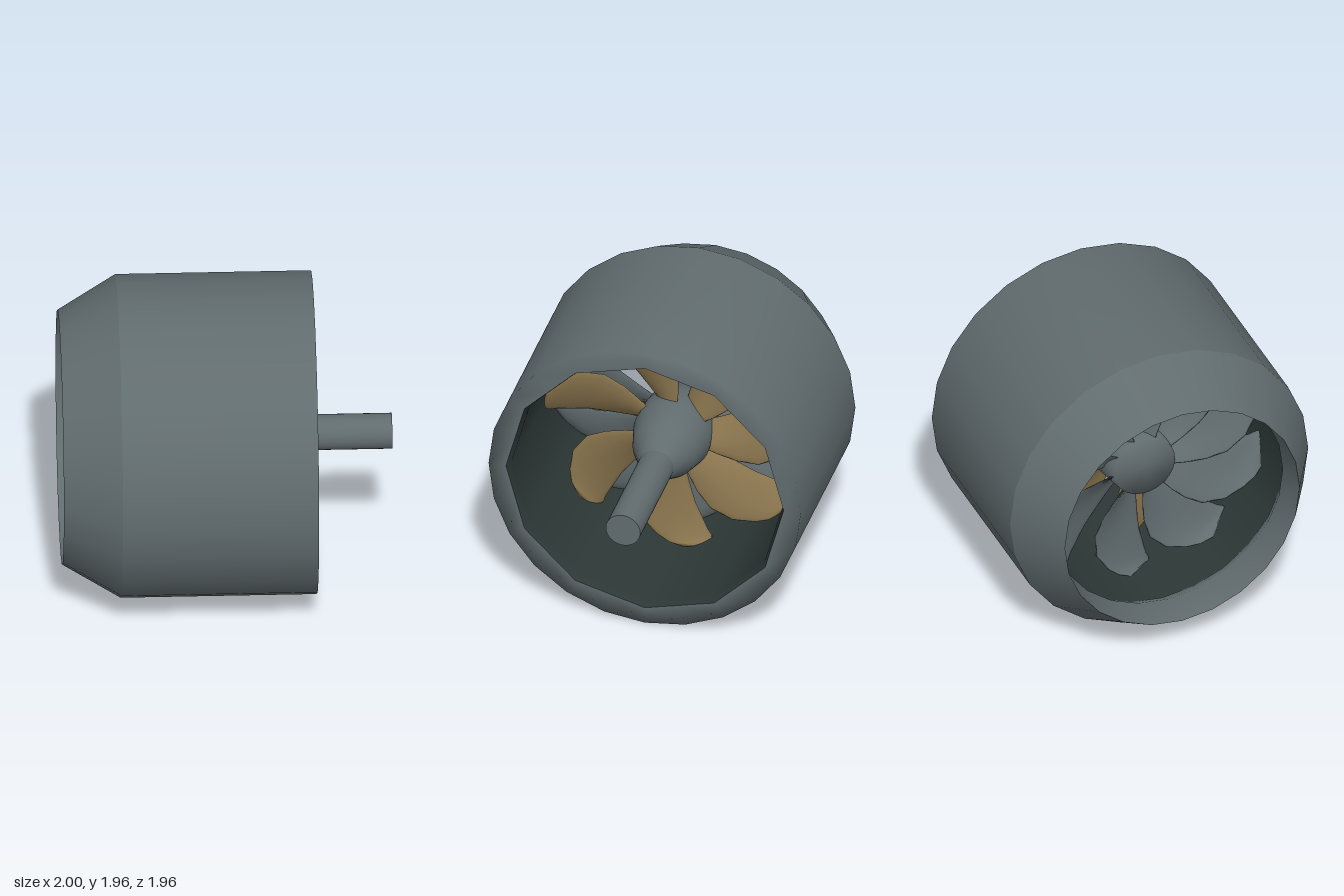
import * as THREE from 'three';

const AXIS_Y = 0.98;
const SIDES = 24;
const shellMat = new THREE.MeshStandardMaterial({ color: 0x616c6f, side: THREE.DoubleSide });
shellMat.name = 'slate grey';
const liningMat = new THREE.MeshStandardMaterial({ color: 0x2d3937, side: THREE.DoubleSide });
liningMat.name = 'dark lining';
const bronzeMat = new THREE.MeshStandardMaterial({ color: 0x8a754e, side: THREE.DoubleSide });
bronzeMat.name = 'bronze';

function add(parent, name, geometry, material) {
  const mesh = new THREE.Mesh(geometry, material);
  mesh.name = name;
  parent.add(mesh);
  return mesh;
}

// Surface of revolution about the x axis from [x, radius] pairs.
function turned(profile, sides) {
  const points = profile.map(([x, r]) => new THREE.Vector2(r, x));
  return new THREE.LatheGeometry(points, sides).rotateZ(-Math.PI / 2);
}

// Barrel with a flat front rim whose opening is twelve-sided:
// every second inner vertex is pulled in onto the chord.
function barrelGeometry() {
  const profile = [[-0.65, 0.978], [0.53, 0.978], [0.53, 0.87]];
  const g = turned(profile, SIDES);
  const p = g.attributes.position;
  const k = Math.cos(Math.PI / 12);
  for (let i = 1; i < SIDES; i += 2) {
    const v = i * profile.length + 2;
    p.setY(v, p.getY(v) * k);
    p.setZ(v, p.getZ(v) * k);
  }
  return g;
}

// Sickle outline of a blade: [radius, start angle, end angle] in degrees.
const OUTLINE = [
  [0.18, 1, 43], [0.3, 0, 42], [0.42, -1, 40], [0.55, -2, 36],
  [0.67, -4, 27.5], [0.75, -5, 18], [0.79, -6, 12], [0.81, -6, 6],
];

// Thin closed blade lofted from lens-shaped sections; dir = -1 mirrors the sweep.
function bladeGeometry(dir, xStart, xEnd, thickness) {
  const N = 16, pos = [], index = [];
  for (const [r, a0, a1] of OUTLINE) {
    for (let j = 0; j < N; j++) {
      const t = (j / N) * Math.PI * 2;
      const u = 0.5 - 0.5 * Math.cos(t);
      const angle = dir * THREE.MathUtils.degToRad(a0 + (a1 - a0) * u);
      const camber = 0.02 * Math.sin(Math.PI * u);
      const x = xStart + (xEnd - xStart) * u + camber + Math.sin(t) * thickness / 2;
      pos.push(x, -r * Math.sin(angle), -r * Math.cos(angle));
    }
  }
  const last = OUTLINE.length - 1;
  for (let i = 0; i < last; i++) {
    for (let j = 0; j < N; j++) {
      const a = i * N + j, b = i * N + (j + 1) % N;
      if (dir > 0) index.push(a, b, a + N, b, b + N, a + N);
      else index.push(a, a + N, b, b, a + N, b + N);
    }
  }
  // Tip cap
  for (let j = 1; j < N - 1; j++) {
    const o = last * N;
    if (dir > 0) index.push(o, o + j, o + j + 1);
    else index.push(o, o + j + 1, o + j);
  }
  const g = new THREE.BufferGeometry();
  g.setAttribute('position', new THREE.Float32BufferAttribute(pos, 3));
  g.setIndex(index);
  g.computeVertexNormals();
  return g;
}

function bladeRing(name, part, count, firstAngle, geometry, material) {
  const ring = new THREE.Group();
  ring.name = name;
  for (let i = 0; i < count; i++) {
    const blade = add(ring, part, geometry, material);
    // Positive angles run from -z towards -y
    blade.rotation.x = -(THREE.MathUtils.degToRad(firstAngle) + (i * 2 * Math.PI) / count);
  }
  return ring;
}

export function createModel() {
  const model = new THREE.Group();
  model.name = 'ductedFan';
  const fan = new THREE.Group();
  fan.name = 'fanAssembly';
  fan.position.y = AXIS_Y;
  model.add(fan);

  // Duct: barrel with rim, tapered nozzle with inner lip, and the inner wall
  add(fan, 'ductBarrel', barrelGeometry(), shellMat);
  add(fan, 'nozzle', turned([[-1, 0.77], [-0.65, 0.978]], SIDES), shellMat);
  add(fan, 'nozzleLip', turned([[-0.7, 0.8], [-0.79, 0.75], [-1, 0.77]], SIDES), shellMat);
  add(fan, 'ductLining', turned([[0.53, 0.87], [0.47, 0.85], [-0.73, 0.825]], 12), liningMat);

  // Hub and drive shaft
  const hubProfile = [[-0.43, 0], [-0.43, 0.2], [-0.2, 0.235], [-0.05, 0.24], [0.12, 0.195], [0.28, 0.108]];
  add(fan, 'hub', turned(hubProfile, 32), shellMat);
  const shaft = new THREE.CylinderGeometry(0.108, 0.108, 0.8, 32).rotateZ(-Math.PI / 2);
  add(fan, 'driveShaft', shaft, shellMat).position.x = 0.6;

  // Seven-blade rotor, with nine counter-swept guide vanes behind it
  fan.add(bladeRing('rotor', 'rotorBlade', 7, -74, bladeGeometry(1, -0.18, -0.08, 0.03), bronzeMat));
  fan.add(bladeRing('stator', 'guideVane', 9, -70, bladeGeometry(-1, -0.3, -0.42, 0.03), shellMat));

  return model;
}
